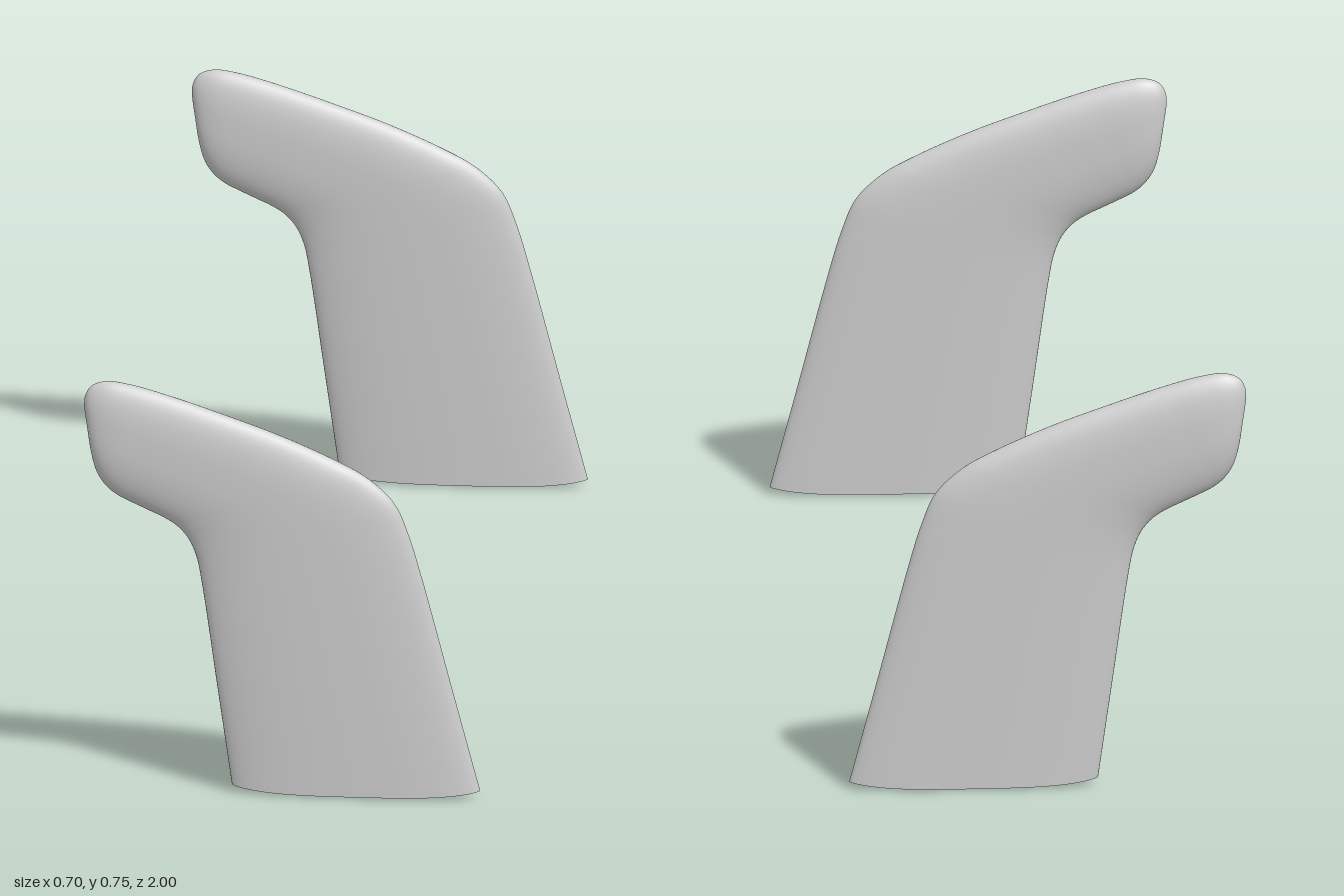
import * as THREE from 'three';

const AROUND = 48, ALONG = 80;

// Stations from the foot to the tip: outer x, outer y, inner x, inner y, half thickness
const STATIONS = [
  [0.35, 0.013, -0.09, 0.013, 0.03],
  [0.3, 0.2, -0.117, 0.2, 0.03],
  [0.247, 0.4, -0.143, 0.38, 0.03],
  [0.223, 0.48, -0.153, 0.43, 0.03],
  [0.198, 0.537, -0.167, 0.462, 0.03],
  [0.152, 0.581, -0.187, 0.485, 0.03],
  [0.1, 0.61, -0.21, 0.5, 0.03],
  [0, 0.654, -0.24, 0.514, 0.03],
  [-0.1, 0.69, -0.268, 0.527, 0.03],
  [-0.2, 0.723, -0.292, 0.539, 0.03],
  [-0.27, 0.742, -0.312, 0.555, 0.029],
  [-0.313, 0.747, -0.328, 0.578, 0.025],
  [-0.339, 0.738, -0.338, 0.61, 0.018],
  [-0.35, 0.72, -0.346, 0.66, 0.009],
  [-0.352, 0.7, -0.352, 0.7, 0],
];

const rail = (i, j) => new THREE.CatmullRomCurve3(
  STATIONS.map((s) => new THREE.Vector3(s[i], s[j], i === 0 ? s[4] : 0)));
const outerRail = rail(0, 1), innerRail = rail(2, 3);

// Rounded blade section at t; the foot sags a little towards its middle
function section(t, flat = 1, sag = 0) {
  const o = outerRail.getPoint(t), n = innerRail.getPoint(t);
  const ring = [];
  for (let k = 0; k < AROUND; k++) {
    const a = (k / AROUND) * Math.PI * 2, c = Math.cos(a);
    const s = Math.sign(c) * Math.abs(c) ** 0.8;
    ring.push([
      (o.x + n.x) / 2 + s * (o.x - n.x) / 2,
      (o.y + n.y) / 2 + s * (o.y - n.y) / 2 - sag * (1 - s ** 4),
      Math.sin(a) * Math.max(o.z, 0) * flat,
    ]);
  }
  return ring;
}

// Skin a list of closed rings
function skin(rings) {
  const index = [];
  for (let r = 0; r < rings.length - 1; r++) {
    for (let k = 0; k < AROUND; k++) {
      const a = r * AROUND + k, b = r * AROUND + (k + 1) % AROUND;
      index.push(a, a + AROUND, b, b, a + AROUND, b + AROUND);
    }
  }
  const geo = new THREE.BufferGeometry();
  geo.setAttribute('position', new THREE.Float32BufferAttribute(rings.flat(2), 3));
  geo.setIndex(index);
  geo.computeVertexNormals();
  return geo;
}

export function createModel() {
  const model = new THREE.Group();
  const material = new THREE.MeshStandardMaterial({ color: 0xcccccc });

  // Side wall from foot to closed tip
  const rings = [section(0, 1, 0.01)];
  for (let i = 1; i <= ALONG; i++) rings.push(section(i / ALONG));
  const wall = skin(rings);

  // Gently domed underside
  const foot = skin([section(0, 0, 0.013), section(0, 0.5, 0.0122), section(0, 1, 0.01)]);

  // Matching pair of arm panels
  for (const [name, z] of [['frontArmPanel', 0.97], ['rearArmPanel', -0.97]]) {
    const panel = new THREE.Group();
    panel.name = name;
    for (const [part, geo] of [['body', wall], ['underside', foot]]) {
      const mesh = new THREE.Mesh(geo, material);
      mesh.name = part;
      panel.add(mesh);
    }
    panel.position.z = z;
    model.add(panel);
  }
  return model;
}
